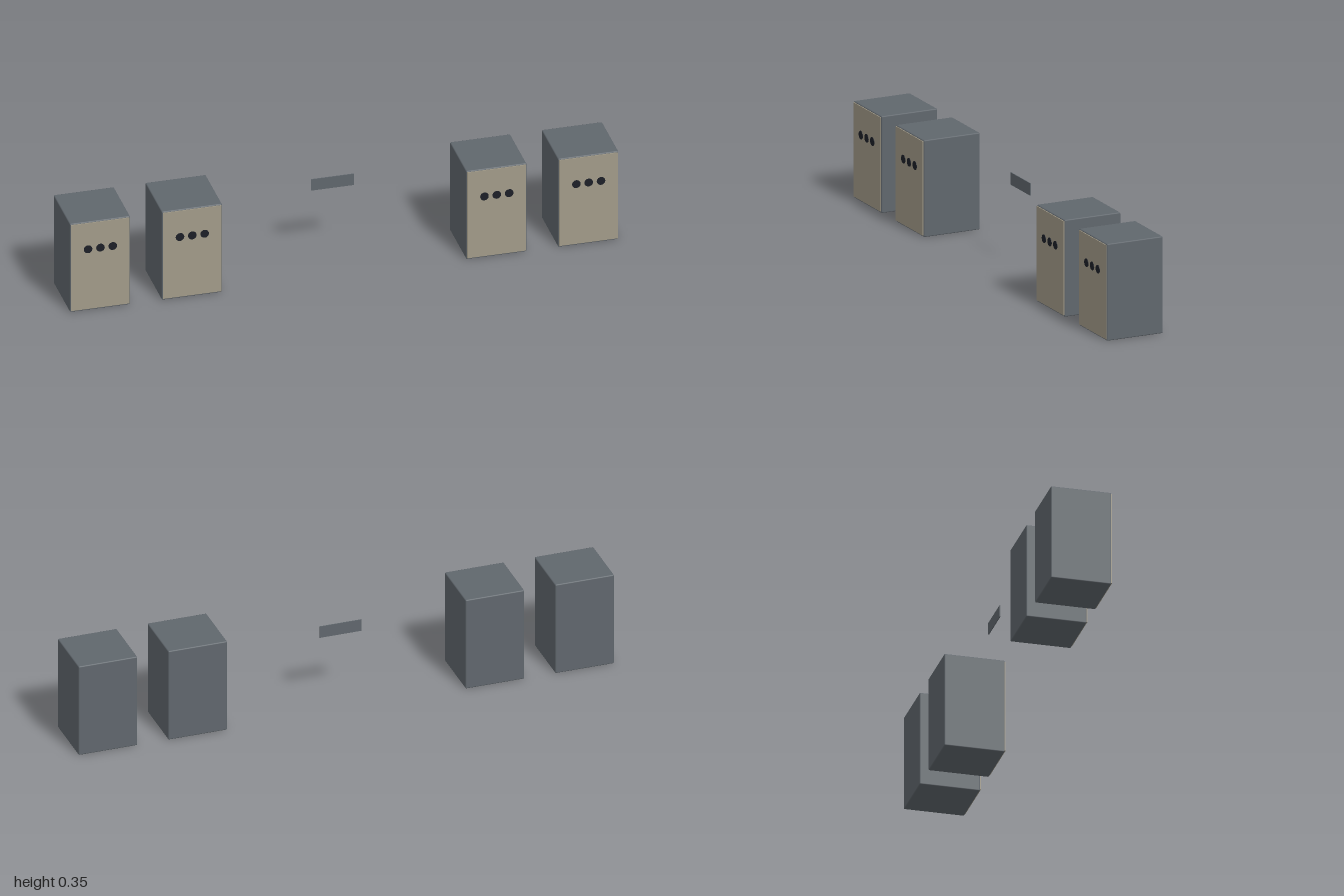
import * as THREE from 'three';
import { RoundedBoxGeometry } from 'three/addons/geometries/RoundedBoxGeometry.js';

const material = (name, color) => {
  const m = new THREE.MeshStandardMaterial({ color });
  m.name = name;
  return m;
};

export function createModel() {
  const slate = material('slate grey', 0x60676d);
  const tan = material('warm tan', 0xa29b89);
  const black = material('near black', 0x1c1f27);

  const model = new THREE.Group();
  model.name = 'cabinetRow';

  const add = (parent, name, geometry, mat, x, y, z) => {
    const mesh = new THREE.Mesh(geometry, mat);
    mesh.name = name;
    mesh.position.set(x, y, z);
    parent.add(mesh);
    return mesh;
  };

  const bodyGeometry = new RoundedBoxGeometry(0.22, 0.355, 0.22, 1, 0.004);
  const panelGeometry = new THREE.BoxGeometry(0.213, 0.345, 0.006);
  const dotGeometry = new THREE.CylinderGeometry(0.0155, 0.0155, 0.005, 16).rotateX(Math.PI / 2);

  // Four cabinets, two on each side
  for (const x of [-0.89, -0.555, 0.555, 0.89]) {
    const cabinet = new THREE.Group();
    cabinet.name = 'cabinet';
    cabinet.position.x = x;
    add(cabinet, 'cabinetBody', bodyGeometry, slate, 0, 0.1775, -0.002);
    add(cabinet, 'frontPanel', panelGeometry, tan, 0, 0.1785, 0.1085);
    // Row of three round indicators
    for (const dx of [-0.045, 0, 0.045]) {
      add(cabinet, 'indicator', dotGeometry, black, dx, 0.247, 0.111);
    }
    model.add(cabinet);
  }

  // Thin floating sign between the two pairs
  add(model, 'centrePlate', new THREE.BoxGeometry(0.156, 0.045, 0.003), slate, 0, 0.2925, -0.05);

  return model;
}
